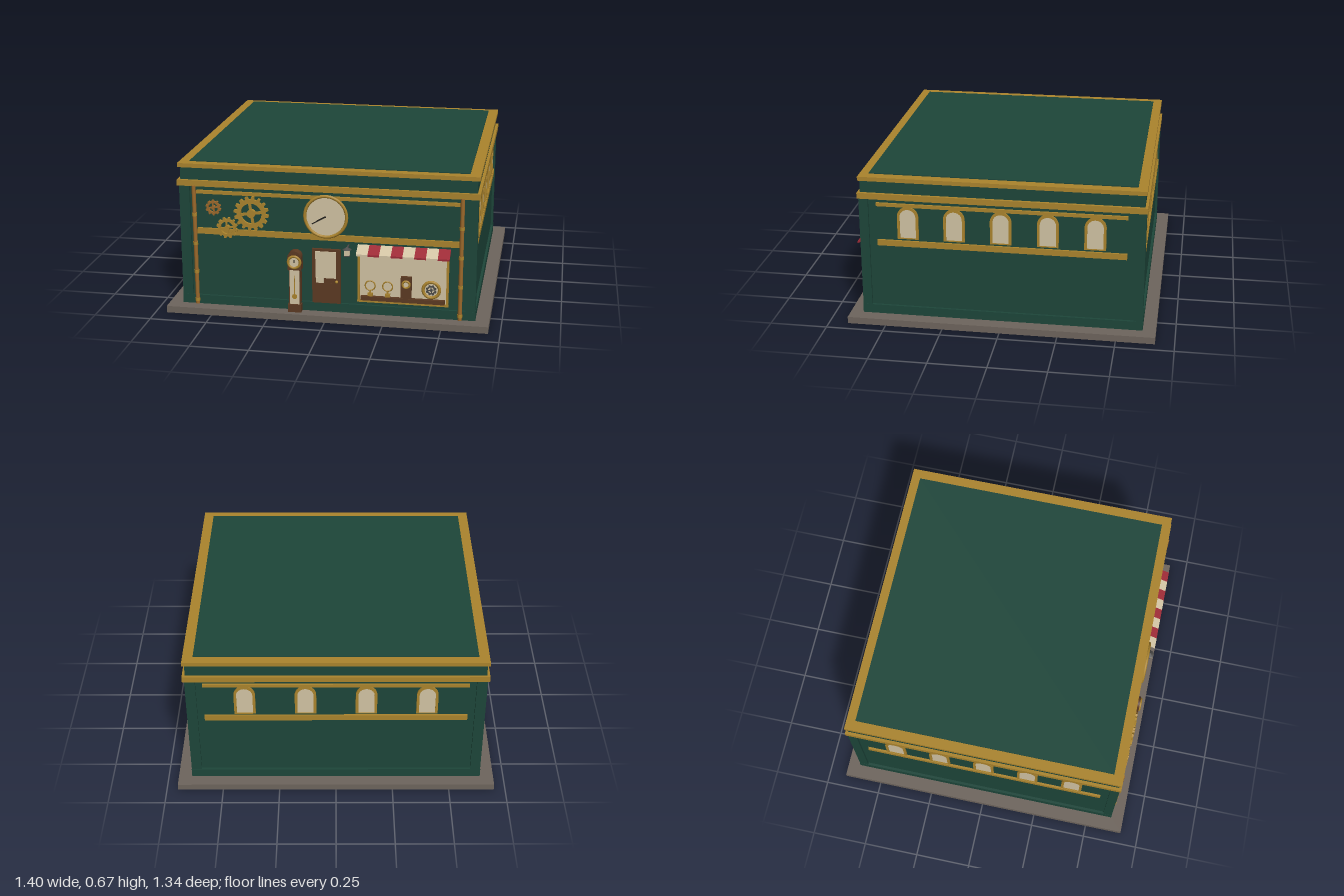
import * as THREE from 'three';

const mat = (name, color) => {
  const m = new THREE.MeshStandardMaterial({ color });
  m.name = name;
  return m;
};

export function createModel() {
  const root = new THREE.Group();
  root.name = 'clockShop';
  const green = mat('dark green', 0x1d463a), gold = mat('brass', 0xab842d), cream = mat('cream', 0xd2c4a4);
  const stone = mat('stone', 0x6e655d), brown = mat('wood', 0x5c3a22), copper = mat('copper', 0x9c692b);
  const red = mat('awning red', 0x9e2a36), dark = mat('black', 0x25221f), iron = mat('iron', 0x4b4a48);

  const add = (name, geo, m, x, y, z, parent = root) => {
    const o = new THREE.Mesh(geo, m);
    o.name = name;
    o.position.set(x, y, z);
    parent.add(o);
    return o;
  };
  const box = (name, m, w, h, d, x, y, z, parent) => add(name, new THREE.BoxGeometry(w, h, d), m, x, y, z, parent);
  // box given by its bottom and top heights
  const slab = (name, m, w, d, y0, y1) => box(name, m, w, y1 - y0, d, 0, (y0 + y1) / 2, 0);
  // round plate facing +z
  const disc = (name, m, r, t, x, y, z, parent) =>
    add(name, new THREE.CylinderGeometry(r, r, t, 32).rotateX(Math.PI / 2), m, x, y, z, parent);
  const ring = (name, m, r, tube, x, y, z, parent) =>
    add(name, new THREE.TorusGeometry(r, tube, 8, 32), m, x, y, z, parent);
  const extrude = (shape, depth) =>
    new THREE.ExtrudeGeometry(shape, { depth, bevelEnabled: false, curveSegments: 12 });

  // Shell of the building; the walls reach down through the pavement
  slab('pavement', stone, 1.4, 1.335, 0, 0.03);
  slab('walls', green, 1.26, 1.2, 0, 0.57);
  slab('baseboard', green, 1.282, 1.222, 0.03, 0.07);
  slab('lowerCornice', gold, 1.296, 1.23, 0.567, 0.593);
  slab('parapet', green, 1.27, 1.206, 0.593, 0.648);
  slab('topCornice', gold, 1.29, 1.22, 0.647, 0.665);
  slab('roof', green, 1.2, 1.14, 0.66, 0.669);
  for (const sx of [-1, 1]) for (const sz of [-1, 1])
    box('cornerPilaster', green, 0.045, 0.54, 0.04, sx * 0.6175, 0.3, sz * 0.59);

  // Arched window: brass surround and cream pane
  const arch = (Type, w, h) => {
    const s = new Type();
    s.moveTo(-w / 2, 0);
    s.lineTo(w / 2, 0);
    s.lineTo(w / 2, h - w / 2);
    s.absarc(0, h - w / 2, w / 2, 0, Math.PI, false);
    s.lineTo(-w / 2, 0);
    return s;
  };
  const frameShape = arch(THREE.Shape, 0.092, 0.147);
  const hole = arch(THREE.Path, 0.069, 0.13);
  frameShape.holes.push(new THREE.Path(hole.getPoints(12).map(p => p.add(new THREE.Vector2(0, 0.005)))));
  const frameGeo = extrude(frameShape, 0.007);
  const paneGeo = extrude(arch(THREE.Shape, 0.078, 0.138), 0.004);

  // One decorated face: brass bands plus a row of windows
  const face = (name, angle, dist, bandWidth, windows) => {
    const g = new THREE.Group();
    g.name = name;
    g.rotation.y = angle;
    root.add(g);
    box('wideBand', gold, bandWidth, 0.026, 0.012, 0, 0.366, dist + 0.003, g);
    box('thinBand', gold, bandWidth, 0.015, 0.012, 0, 0.541, dist + 0.003, g);
    for (const x of windows) {
      add('windowFrame', frameGeo, gold, x, 0.388, dist, g);
      add('windowPane', paneGeo, cream, x, 0.39, dist, g);
    }
  };
  const five = [-0.4, -0.2, 0, 0.2, 0.4];
  face('frontFace', 0, 0.6, 1.13, []);
  face('backFace', Math.PI, 0.6, 1.13, [-0.39, -0.13, 0.13, 0.39]);
  face('leftFace', Math.PI / 2, 0.63, 1.07, five);
  face('rightFace', -Math.PI / 2, 0.63, 1.07, five);

  // Copper pipes with brass collars
  for (const x of [-0.575, 0.575]) {
    add('pipe', new THREE.CylinderGeometry(0.009, 0.009, 0.54, 12), copper, x, 0.3, 0.611);
    for (const y of [0.05, 0.18, 0.31, 0.44])
      add('pipeCollar', new THREE.CylinderGeometry(0.011, 0.011, 0.014, 12), gold, x, y, 0.611);
  }

  // Large wall clock
  disc('clockFace', cream, 0.09, 0.02, 0, 0.463, 0.61);
  ring('clockRim', gold, 0.09, 0.007, 0, 0.463, 0.62);
  const hand = (len, w, angle) => {
    const h = box('clockHand', dark, len, w, 0.004, Math.cos(angle) * len / 2, 0.463 + Math.sin(angle) * len / 2, 0.622);
    h.rotation.z = angle;
  };
  hand(0.068, 0.004, Math.PI + 0.52);
  hand(0.042, 0.006, Math.PI + 0.5);

  // Toothed wheel with spokes
  const gear = (m, r, teeth, x, y, z) => {
    const s = new THREE.Shape();
    for (let i = 0; i < teeth; i++)
      [[0, 0.83], [0.15, 1], [0.5, 1], [0.65, 0.83]].forEach(([f, k], j) => {
        const a = (i + f) / teeth * Math.PI * 2;
        s[i + j ? 'lineTo' : 'moveTo'](Math.cos(a) * r * k, Math.sin(a) * r * k);
      });
    s.closePath();
    s.holes.push(new THREE.Path().absarc(0, 0, r * 0.6, 0, Math.PI * 2, true));
    const g = new THREE.Group();
    g.name = 'gear';
    g.position.set(x, y, z);
    g.rotation.z = 0.15;
    root.add(g);
    add('gearRim', extrude(s, 0.012), m, 0, 0, -0.006, g);
    box('gearSpoke', m, r * 1.35, r * 0.15, 0.008, 0, 0, 0, g);
    box('gearSpoke', m, r * 0.15, r * 1.35, 0.008, 0, 0, 0, g);
    disc('gearHub', m, r * 0.24, 0.018, 0, 0, 0, g);
  };
  gear(gold, 0.076, 16, -0.322, 0.46, 0.62);
  gear(gold, 0.047, 12, -0.43, 0.39, 0.618);
  gear(copper, 0.034, 10, -0.49, 0.476, 0.612);

  // Door
  box('doorFrame', brown, 0.124, 0.245, 0.02, 0, 0.192, 0.603);
  box('doorGlass', cream, 0.09, 0.12, 0.006, -0.002, 0.245, 0.613);
  box('doorPanel', brown, 0.08, 0.075, 0.004, 0, 0.125, 0.612);
  box('doorSign', cream, 0.034, 0.022, 0.006, -0.028, 0.174, 0.615);
  add('doorKnob', new THREE.SphereGeometry(0.007, 12, 8), gold, 0.045, 0.17, 0.616);

  // Tall pendulum clock
  box('caseBase', brown, 0.058, 0.035, 0.045, -0.135, 0.047, 0.621);
  box('caseBody', brown, 0.05, 0.17, 0.034, -0.135, 0.14, 0.615);
  box('caseGlass', cream, 0.042, 0.155, 0.004, -0.135, 0.142, 0.633);
  box('pendulumRod', gold, 0.003, 0.09, 0.004, -0.135, 0.15, 0.634);
  disc('pendulumBob', gold, 0.011, 0.005, -0.135, 0.1, 0.635);
  add('caseHead', extrude(arch(THREE.Shape, 0.06, 0.085), 0.036), brown, -0.135, 0.22, 0.6);
  disc('caseDial', cream, 0.025, 0.006, -0.135, 0.257, 0.636);
  ring('caseDialRim', gold, 0.026, 0.006, -0.135, 0.257, 0.638);
  box('caseHand', dark, 0.003, 0.014, 0.003, -0.135, 0.262, 0.639);

  // Lantern on a bracket
  box('lanternBracket', iron, 0.006, 0.006, 0.04, 0.095, 0.335, 0.617);
  box('lanternGlass', cream, 0.022, 0.026, 0.022, 0.095, 0.316, 0.638);
  add('lanternCap', new THREE.ConeGeometry(0.02, 0.013, 8), iron, 0.095, 0.335, 0.638);
  box('lanternFoot', iron, 0.024, 0.004, 0.024, 0.095, 0.302, 0.638);

  // Shop window with display
  box('shopPane', cream, 0.38, 0.22, 0.008, 0.33, 0.2, 0.602);
  for (const y of [0.09, 0.31]) box('shopFrameRail', gold, 0.392, 0.01, 0.014, 0.33, y, 0.605);
  for (const x of [0.14, 0.52]) box('shopFrameStile', gold, 0.01, 0.22, 0.014, x, 0.2, 0.605);
  box('displayShelf', brown, 0.36, 0.018, 0.02, 0.33, 0.106, 0.612);
  for (const x of [0.19, 0.265]) {
    disc('alarmClockDial', cream, 0.02, 0.006, x, 0.162, 0.608);
    ring('alarmClockRim', gold, 0.021, 0.003, x, 0.162, 0.61);
    box('alarmClockStand', gold, 0.022, 0.014, 0.012, x, 0.122, 0.61);
    box('alarmClockStem', gold, 0.007, 0.016, 0.008, x, 0.135, 0.61);
  }
  box('mantelClock', brown, 0.046, 0.1, 0.016, 0.345, 0.163, 0.612);
  disc('mantelDial', cream, 0.013, 0.004, 0.345, 0.18, 0.621);
  ring('mantelRim', gold, 0.015, 0.005, 0.345, 0.18, 0.622);
  // Display wheel: brass rim around a small iron gear
  ring('wheelRim', gold, 0.035, 0.007, 0.452, 0.16, 0.614);
  disc('wheelDial', cream, 0.033, 0.004, 0.452, 0.16, 0.612);
  gear(iron, 0.023, 8, 0.452, 0.16, 0.613);

  // Striped awning: sloped wedges in alternating colours
  const wedge = new THREE.Shape([[0, 0], [0.056, -0.026], [0.056, -0.034], [0, -0.01]].map(p => new THREE.Vector2(...p)));
  const n = 8, w = 0.395 / n;
  const stripeGeo = extrude(wedge, w).rotateY(-Math.PI / 2).translate(w, 0, 0);
  for (let i = 0; i < n; i++) add('awningStripe', stripeGeo, i % 2 ? red : cream, 0.135 + i * w, 0.342, 0.6);

  return root;
}
